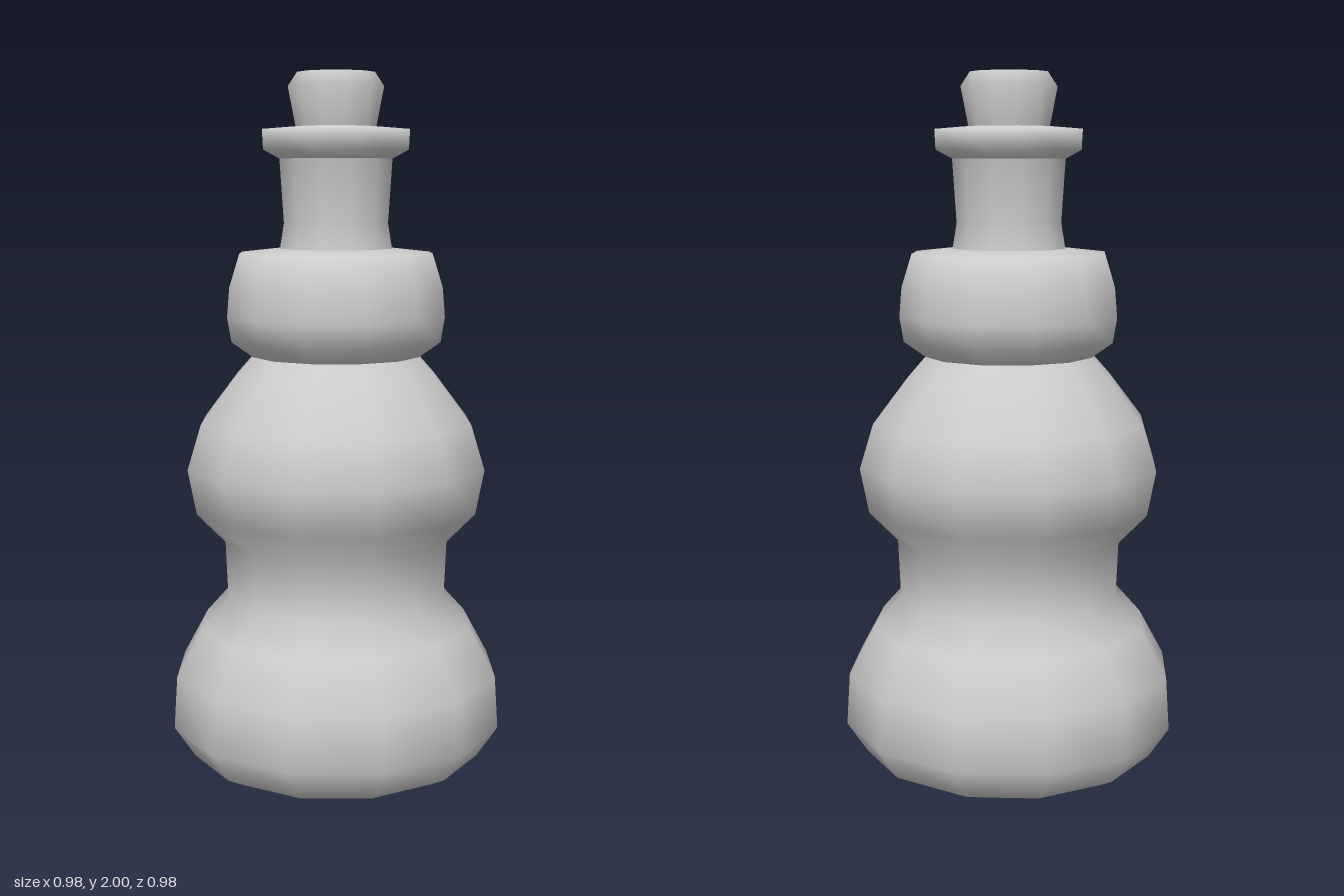
import * as THREE from 'three';

const SIDES = 12;
const material = new THREE.MeshStandardMaterial({ color: 0xcccccc });

// Turned part from [radius, height] pairs, listed bottom to top
function turned(name, profile) {
  const points = profile.map(([r, y]) => new THREE.Vector2(r, y));
  const mesh = new THREE.Mesh(new THREE.LatheGeometry(points, SIDES), material);
  mesh.name = name;
  return mesh;
}

export function createModel() {
  const group = new THREE.Group();
  group.name = 'bottle';
  group.add(
    // Flat underside
    turned('base', [[0, 0], [0.385, 0]]),
    // Wide lower bulb, waist and middle bulb
    turned('body', [
      [0.385, 0], [0.43, 0.024], [0.49, 0.115], [0.48, 0.268], [0.405, 0.405],
      [0.325, 0.495], [0.332, 0.664], [0.415, 0.75], [0.44, 0.88],
      [0.4, 1.01], [0.3, 1.14], [0.246, 1.2],
    ]),
    // Small upper bulb with a flat shoulder
    turned('shoulder', [
      [0.246, 1.2], [0.308, 1.245], [0.32, 1.315], [0.313, 1.4],
      [0.283, 1.495], [0.165, 1.508],
    ]),
    // Slim flared neck
    turned('neck', [[0.165, 1.508], [0.153, 1.58], [0.165, 1.76], [0.19, 1.775]]),
    // Protruding lip
    turned('lip', [[0.165, 1.76], [0.212, 1.785], [0.215, 1.842], [0.12, 1.85]]),
    // Stopper
    turned('stopper', [[0.118, 1.85], [0.14, 1.96], [0.113, 2]]),
    turned('stopperTop', [[0.113, 2], [0, 2]]),
  );
  return group;
}
